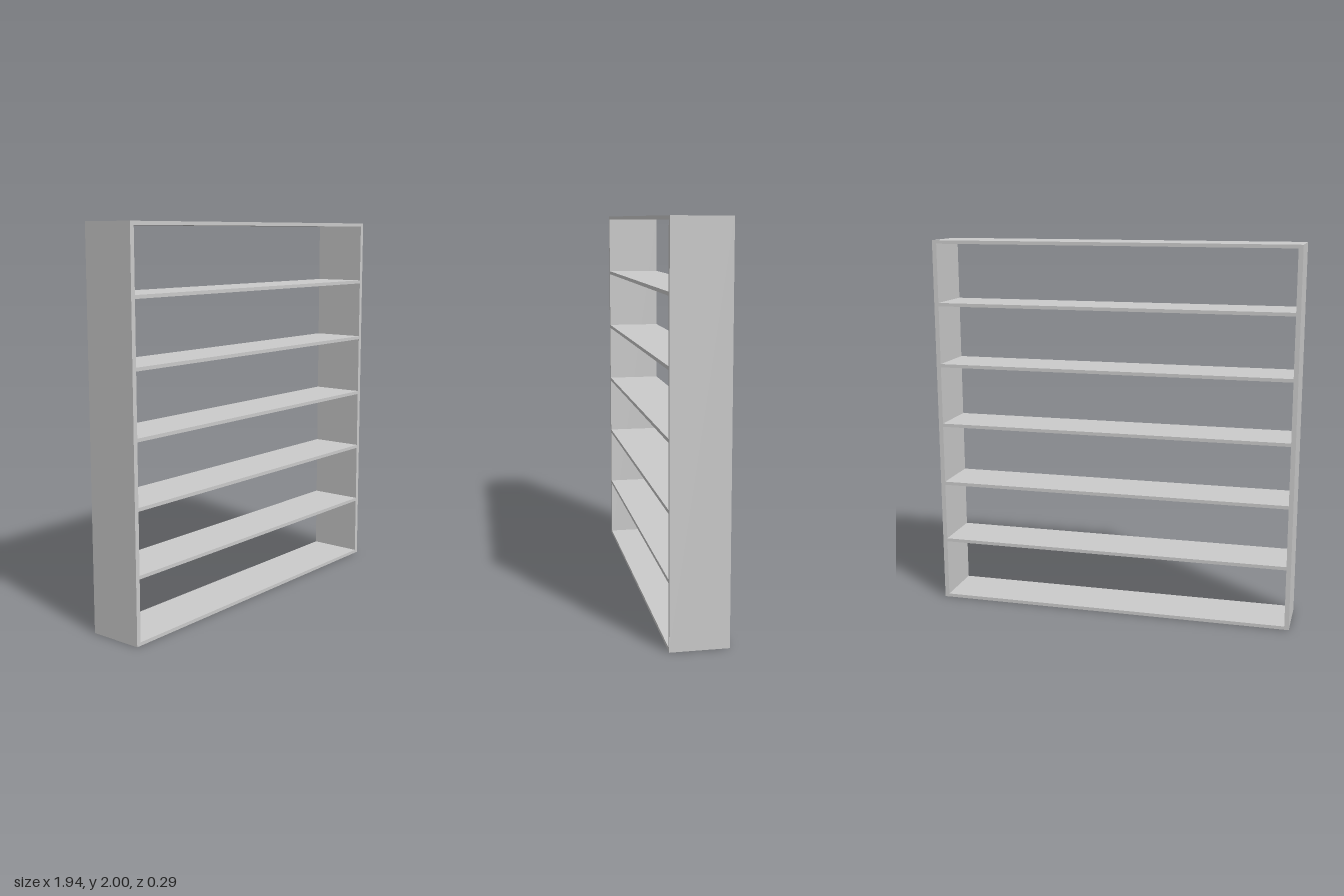
import * as THREE from 'three';

const WIDTH = 1.94, HEIGHT = 2, DEPTH = 0.29;
const SIDE = 0.024, SHELF = 0.018, SHELF_COUNT = 7;

export function createModel() {
  const group = new THREE.Group();
  group.name = 'bookcase';
  const material = new THREE.MeshStandardMaterial({ color: 0xcccccc });

  const addBoard = (name, w, h, x, y) => {
    const board = new THREE.Mesh(new THREE.BoxGeometry(w, h, DEPTH), material);
    board.name = name;
    board.position.set(x, y, 0);
    group.add(board);
  };

  // Upright side panels
  for (const s of [-1, 1]) {
    addBoard(s > 0 ? 'leftSide' : 'rightSide', SIDE, HEIGHT, s * (WIDTH - SIDE) / 2, HEIGHT / 2);
  }

  // Evenly spaced boards between the sides, bottom to top
  const step = (HEIGHT - SHELF) / (SHELF_COUNT - 1);
  for (let i = 0; i < SHELF_COUNT; i++) {
    const name = i === 0 ? 'bottomBoard' : i === SHELF_COUNT - 1 ? 'topBoard' : `shelf${i}`;
    addBoard(name, WIDTH - 2 * SIDE, SHELF, 0, SHELF / 2 + i * step);
  }
  return group;
}
